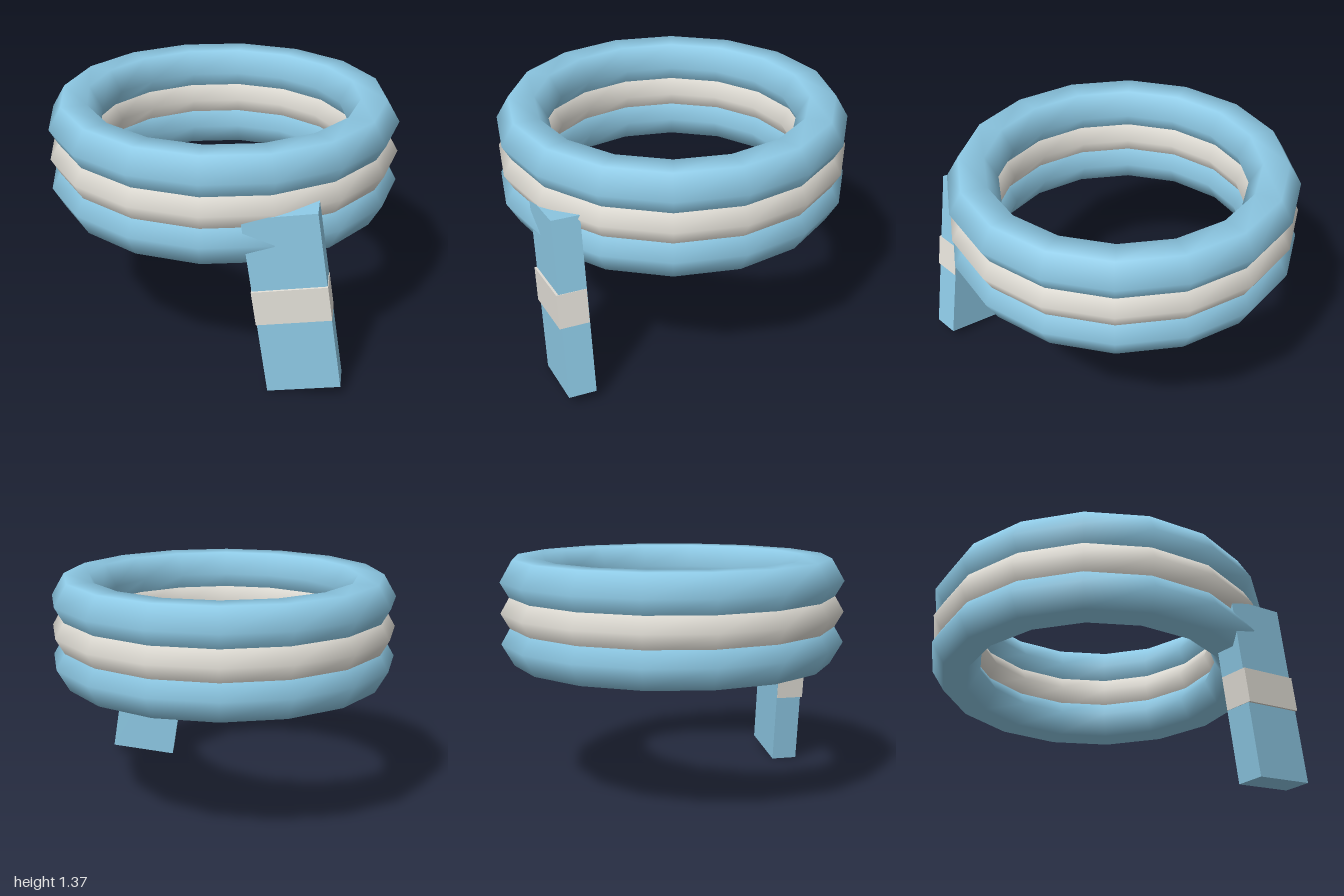
import * as THREE from 'three';

export function createModel() {
  const model = new THREE.Group();
  const blue = new THREE.MeshStandardMaterial({ color: 0x8ecae6 });
  blue.name = 'sky blue';
  const cream = new THREE.MeshStandardMaterial({ color: 0xe4e1d9 });
  cream.name = 'cream';

  function add(parent, name, geometry, material, x, y, z) {
    const mesh = new THREE.Mesh(geometry, material);
    mesh.name = name;
    mesh.position.set(x, y, z);
    parent.add(mesh);
  }

  // Three stacked rings with a hexagonal section
  const ring = new THREE.TorusGeometry(0.853, 0.147, 6, 16).rotateX(Math.PI / 2);
  add(model, 'lowerRing', ring, blue, 0, 0.89, 0);
  add(model, 'middleRing', ring, cream, 0, 1.067, 0);
  add(model, 'upperRing', ring, blue, 0, 1.244, 0);

  // Hanging strap, tilted sideways, with a band across its middle
  const strap = new THREE.Group();
  strap.name = 'strap';
  strap.position.set(0.48, 0.546, 0.843);
  strap.rotation.z = 0.15;
  add(strap, 'strapBody', new THREE.BoxGeometry(0.398, 1.037, 0.157), blue, 0, 0, 0);
  add(strap, 'strapBand', new THREE.BoxGeometry(0.404, 0.197, 0.168), cream, 0, 0.002, 0.0075);
  model.add(strap);

  return model;
}
